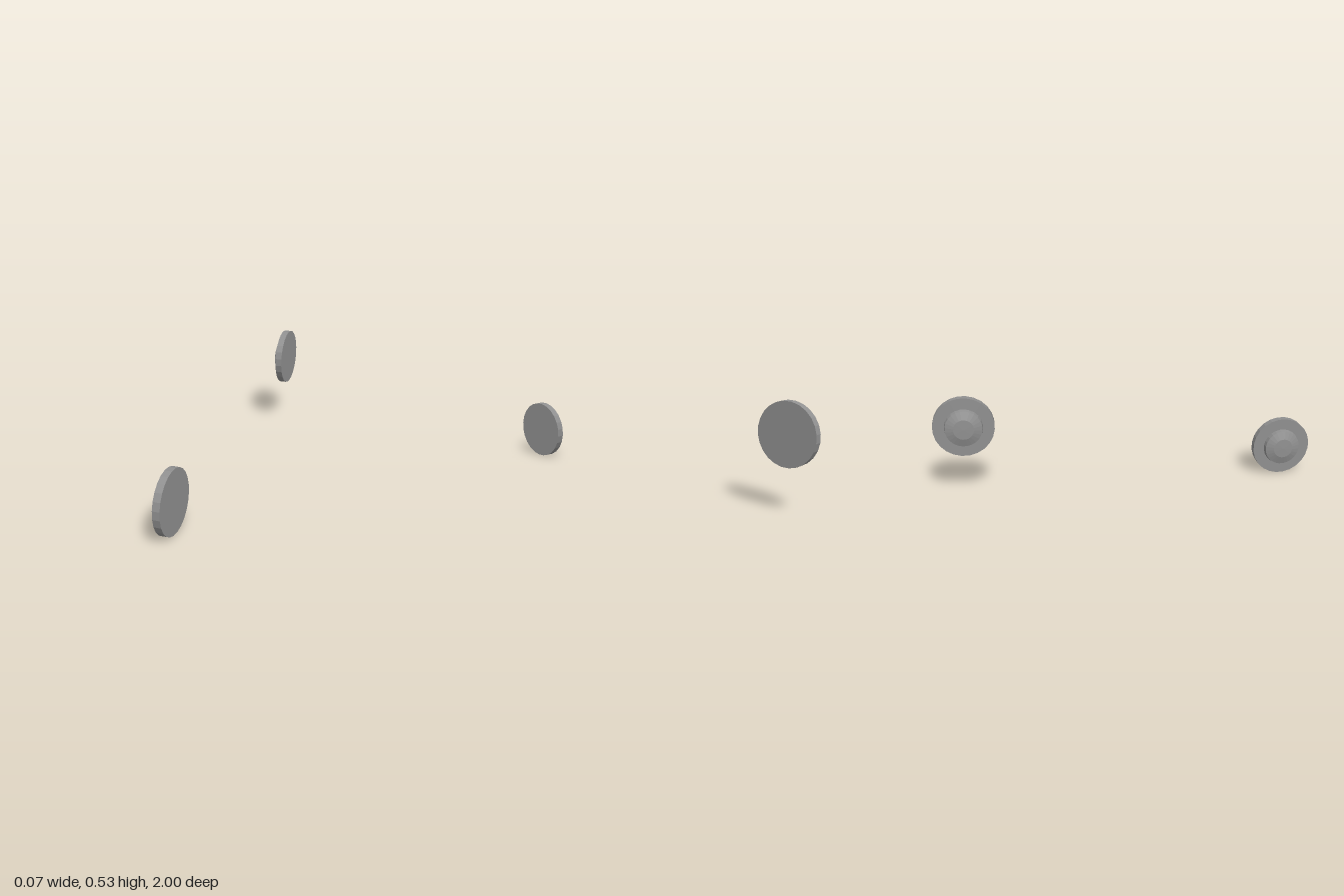
import * as THREE from 'three';

const SIDES = 24;
const material = new THREE.MeshStandardMaterial({ color: 0x909090, flatShading: true });

// One wheel: flat disc on the +x side, shallow domed hub on the -x side
function makeWheel(name, y, z) {
  const wheel = new THREE.Group();
  wheel.name = name;

  const disc = new THREE.Mesh(new THREE.CylinderGeometry(0.156, 0.156, 0.036, SIDES), material);
  disc.name = 'disc';
  disc.position.y = -0.018;

  const profile = [[0.0975, 0], [0.094, 0.022], [0.052, 0.036], [0, 0.038]];
  const hub = new THREE.Mesh(
    new THREE.LatheGeometry(profile.map(([r, h]) => new THREE.Vector2(r, h)), SIDES), material);
  hub.name = 'hubCap';

  // Half a facet of turn, so that a flat side rests on the ground
  disc.rotation.y = hub.rotation.y = Math.PI / SIDES;

  wheel.add(disc, hub);
  wheel.rotation.z = Math.PI / 2; // axle along x, hub towards -x
  wheel.position.set(0.001, y, z);
  return wheel;
}

export function createModel() {
  const model = new THREE.Group();
  model.name = 'discPair';
  model.add(makeWheel('frontWheel', 0.155, 0.845), makeWheel('rearWheel', 0.379, -0.845));
  return model;
}
